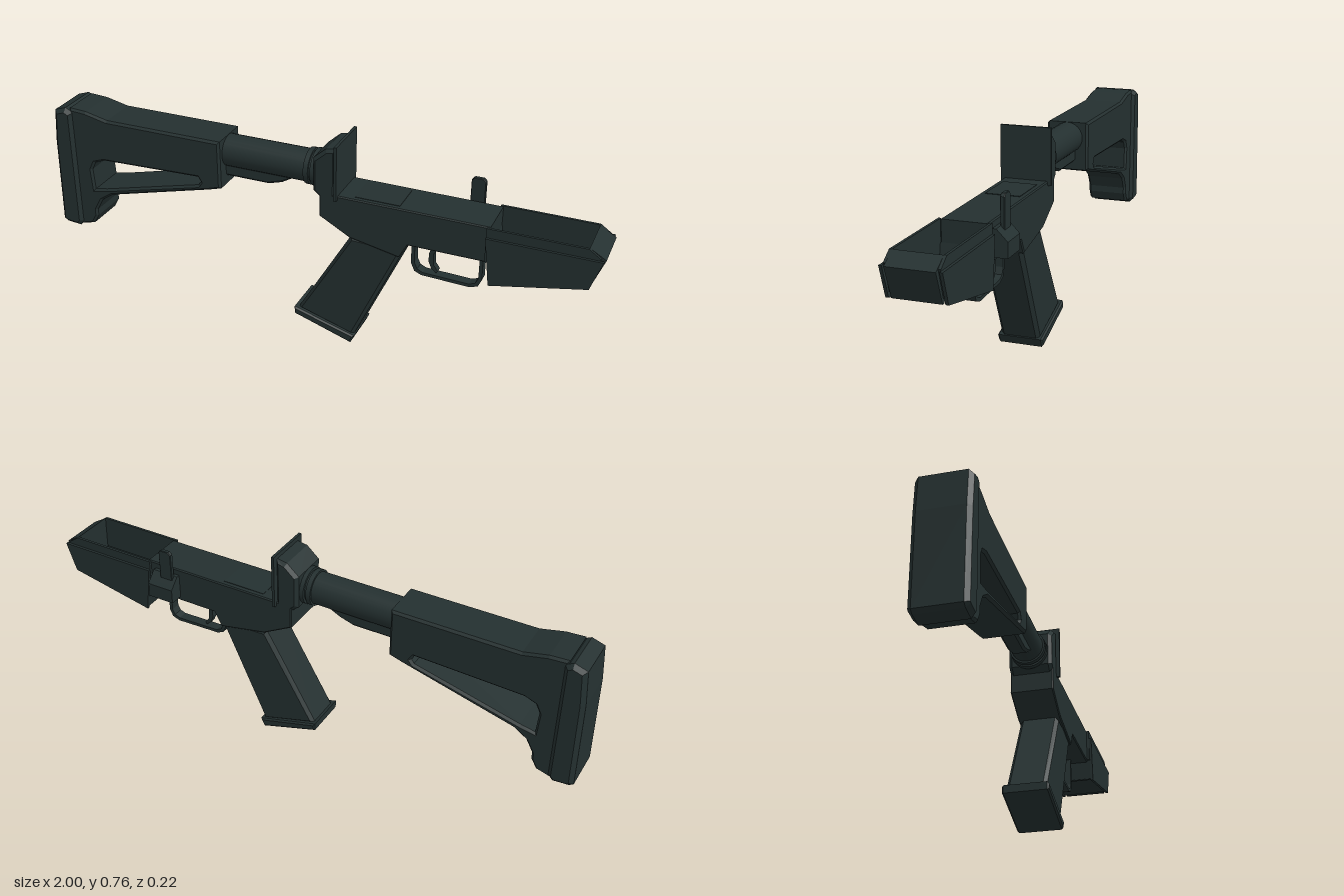
import * as THREE from 'three';

const MID = 0.016; // centre plane of the body in z

export function createModel() {
  const root = new THREE.Group();
  root.name = 'model';
  const darkMetal = new THREE.MeshStandardMaterial({ color: 0x243030 });
  darkMetal.name = 'darkMetal';

  const add = (name, geometry) => {
    const mesh = new THREE.Mesh(geometry, darkMetal);
    mesh.name = name;
    root.add(mesh);
  };
  const outline = (pts) => pts.map(([x, y]) => new THREE.Vector2(x, y));

  // Side profile extruded between z0 and z1, with optional bevelled edges and hole
  const slab = (name, pts, z0, z1, bevel = 0, hole = null) => {
    const shape = new THREE.Shape(outline(pts));
    if (hole) shape.holes.push(new THREE.Path(outline(hole)));
    const g = new THREE.ExtrudeGeometry(shape, {
      depth: z1 - z0 - 2 * bevel, bevelEnabled: bevel > 0, bevelThickness: bevel,
      bevelSize: bevel, bevelOffset: -bevel, bevelSegments: 1,
    });
    g.translate(0, 0, z0 + bevel);
    add(name, g);
  };
  const centred = (name, pts, width, bevel, hole) =>
    slab(name, pts, MID - width / 2, MID + width / 2, bevel, hole);
  const rect = (x0, y0, x1, y1) => [[x0, y0], [x1, y0], [x1, y1], [x0, y1]];

  // Shoulder stock: butt pad, body with triangular opening
  centred('buttPad', [[-1, 0.25], [-0.985, 0.24], [-0.93, 0.235], [-0.912, 0.255],
    [-0.912, 0.695], [-0.94, 0.71], [-0.985, 0.695], [-0.995, 0.57]], 0.18, 0.014);
  centred('stockBody', [[-0.925, 0.24], [-0.87, 0.255], [-0.85, 0.29], [-0.85, 0.315],
    [-0.825, 0.36], [-0.78, 0.39], [-0.38, 0.495], [-0.33, 0.51], [-0.33, 0.687],
    [-0.775, 0.687], [-0.86, 0.706], [-0.925, 0.71]], 0.156, 0.008,
    [[-0.85, 0.4], [-0.8, 0.41], [-0.42, 0.506], [-0.41, 0.52], [-0.42, 0.537],
      [-0.8, 0.525], [-0.84, 0.51], [-0.855, 0.48]]);

  // Stock tube, lower rail and collar rings
  const tube = (name, x0, x1, r) => {
    const g = new THREE.CylinderGeometry(r, r, x1 - x0, 24);
    g.rotateZ(Math.PI / 2);
    g.translate((x0 + x1) / 2, 0.629, MID);
    add(name, g);
  };
  tube('stockTube', -0.34, 0.03, 0.057);
  tube('collarRing', -0.025, -0.008, 0.064);
  tube('collarNut', 0, 0.018, 0.066);
  centred('tubeRail', [[-0.34, 0.54], [-0.17, 0.54], [-0.12, 0.555], [-0.06, 0.59],
    [-0.34, 0.6]], 0.06, 0.008);

  // Rear mount behind the upright plate
  centred('rearMount', [[0.015, 0.575], [0.045, 0.55], [0.1, 0.55], [0.1, 0.742],
    [0.06, 0.735], [0.015, 0.695]], 0.156, 0.012);
  slab('endPlate', rect(0.097, 0.56, 0.107, 0.757), -0.074, 0.106);

  // Receiver with shallow top panel
  centred('receiver', [[0.04, 0.575], [0.04, 0.487], [0.15, 0.426], [0.33, 0.39],
    [0.358, 0.443], [0.63, 0.443], [0.63, 0.573]], 0.156, 0.004);
  centred('topPanel', rect(0.16, 0.57, 0.32, 0.576), 0.12);

  // Open front well: side panels, inner walls, end walls and floor
  const panel = [[0.62, 0.54], [0.64, 0.37], [0.96, 0.435], [0.995, 0.54]];
  const inner = [[0.62, 0.573], [0.62, 0.45], [0.955, 0.45], [0.985, 0.545], [0.945, 0.573]];
  for (const side of [-1, 1]) {
    const plate = (name, pts, a, b) =>
      slab(name, pts, MID + Math.min(side * a, side * b), MID + Math.max(side * a, side * b));
    plate('wellSide', panel, 0.086, 0.096);
    plate('wellInnerWall', inner, 0.078, 0.087);
  }
  centred('wellFront', [[0.95, 0.435], [0.96, 0.435], [1, 0.54], [0.945, 0.573]], 0.156);
  centred('wellRear', [[0.62, 0.5], [0.642, 0.375], [0.652, 0.375], [0.63, 0.5]], 0.174);
  const floor = new THREE.PlaneGeometry(0.33, 0.176);
  floor.rotateX(Math.PI / 2);
  floor.rotateZ(Math.atan2(0.065, 0.32));
  floor.translate(0.8, 0.408, MID);
  add('wellFloor', floor);

  // Raked grip and its base plate
  centred('grip', [[0.15, 0.425], [-0.045, 0.09], [0.165, 0.025], [0.33, 0.392],
    [0.32, 0.42]], 0.14, 0.012);
  centred('gripBase', [[-0.054, 0.098], [-0.054, 0.07], [0.16, 0.001], [0.174, 0.032]],
    0.164, 0.006);

  // Trigger guard loop and curved trigger
  centred('triggerGuard', [[0.352, 0.45], [0.352, 0.345], [0.365, 0.315], [0.39, 0.304],
    [0.56, 0.298], [0.588, 0.308], [0.6, 0.335], [0.6, 0.45], [0.588, 0.45], [0.588, 0.338],
    [0.578, 0.318], [0.558, 0.31], [0.395, 0.315], [0.375, 0.325], [0.364, 0.348],
    [0.364, 0.45]], 0.036);
  centred('trigger', [[0.43, 0.45], [0.412, 0.39], [0.412, 0.36], [0.422, 0.335],
    [0.44, 0.32], [0.446, 0.328], [0.43, 0.35], [0.428, 0.39], [0.46, 0.45]], 0.024);

  // Catch lever on the far side: upright paddle and sloped button
  slab('catchPaddle', [[0.513, 0.51], [0.563, 0.51], [0.563, 0.64], [0.555, 0.65],
    [0.522, 0.65], [0.513, 0.64]], -0.088, -0.073, 0.002);
  const button = new THREE.ExtrudeGeometry(new THREE.Shape(outline([[0.06, 0.46],
    [0.112, 0.46], [0.112, 0.512], [0.1, 0.525], [0.075, 0.55], [0.06, 0.55]])),
  { depth: 0.1, bevelEnabled: false });
  button.rotateY(Math.PI / 2); // profile x becomes -z
  button.translate(0.5, 0, 0);
  add('catchButton', button);

  return root;
}
